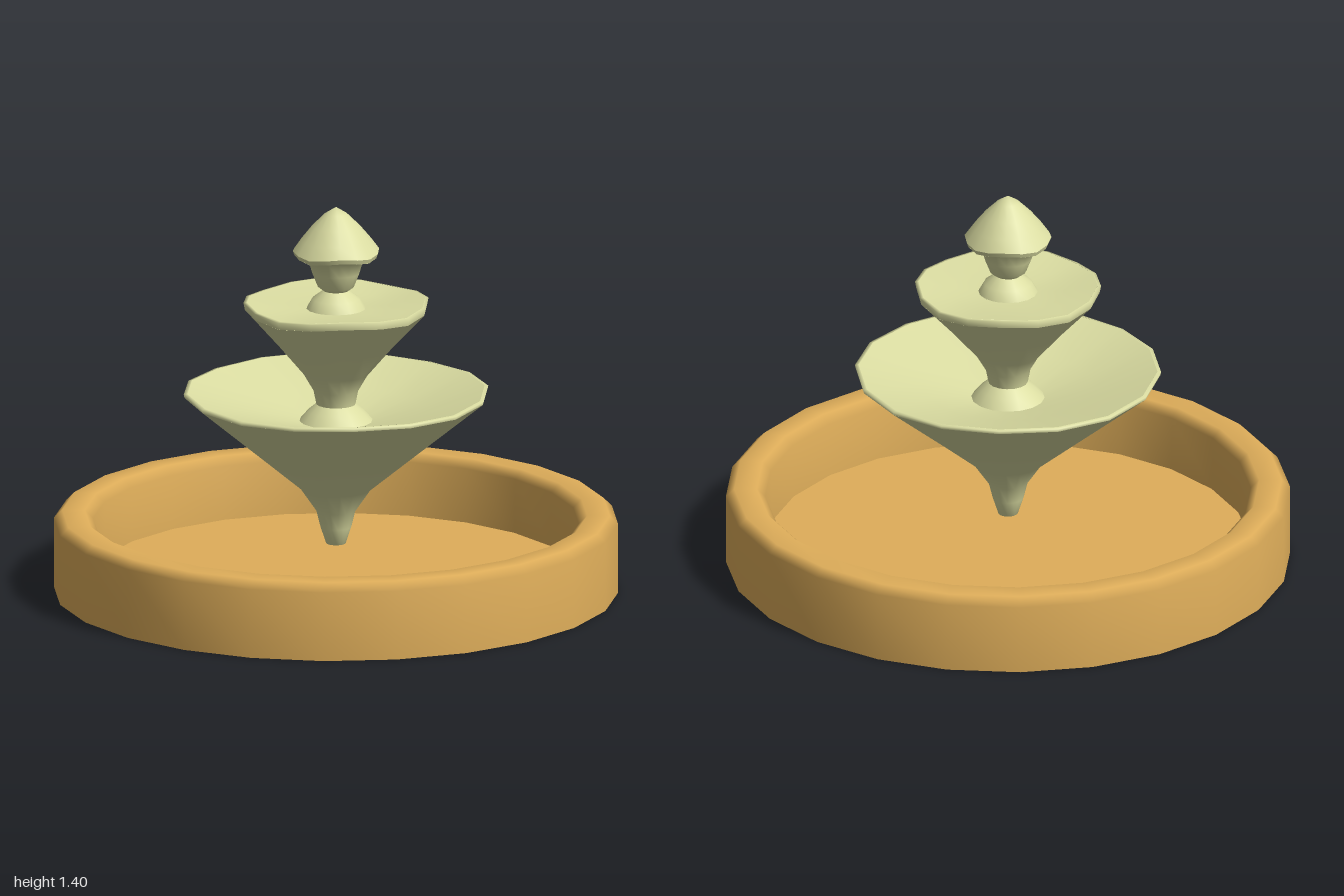
import * as THREE from 'three';
import { mergeVertices } from 'three/addons/utils/BufferGeometryUtils.js';

export function createModel() {
  const clay = new THREE.MeshStandardMaterial({ color: 0xdfae5a, side: THREE.DoubleSide });
  clay.name = 'ochre clay';
  const stone = new THREE.MeshStandardMaterial({ color: 0xdbdda2, side: THREE.DoubleSide });
  stone.name = 'pale stone';

  const fountain = new THREE.Group();
  fountain.name = 'fountain';

  // Smooth turned surface; wave gently warps wide parts so they look hand-carved
  function turned(name, profile, material, parent, sides, start = 0, wave = 0) {
    const pts = profile.map(([r, y]) => new THREE.Vector2(r, y));
    let g = new THREE.LatheGeometry(pts, sides, start);
    g.deleteAttribute('uv');
    g.deleteAttribute('normal');
    const p = g.attributes.position;
    const widest = Math.max(...profile.map(([r]) => r));
    for (let i = 0; i < p.count; i++) {
      const x = p.getX(i), z = p.getZ(i);
      const a = Math.atan2(x, z);
      const reach = Math.pow(Math.hypot(x, z) / widest, 3);
      p.setY(i, p.getY(i) + wave * reach * Math.cos(4 * a + 0.4));
    }
    g = mergeVertices(g, 1e-4);
    g.computeVertexNormals();
    const mesh = new THREE.Mesh(g, material);
    mesh.name = name;
    parent.add(mesh);
  }

  // Basin: hollow ring wall with bevelled rim, and a raised floor
  const basin = new THREE.Group();
  basin.name = 'basin';
  fountain.add(basin);
  turned('basinWall', [[1, 0], [1, 0.25], [0.97, 0.28], [0.89, 0.28], [0.86, 0.25], [0.855, 0.055]],
    clay, basin, 24);
  const floor = new THREE.Mesh(new THREE.CircleGeometry(0.855, 24).rotateX(-Math.PI / 2), clay);
  floor.name = 'basinFloor';
  floor.position.y = 0.055;
  basin.add(floor);

  // Tiers: separate surfaces keep the rim edges crisp
  const tiers = [
    {
      name: 'lowerBowl', wave: 0.004,
      outside: [[0, 0.16], [0.035, 0.17], [0.055, 0.23], [0.07, 0.29], [0.125, 0.37], [0.3, 0.515], [0.54, 0.713]],
      lip: [[0.54, 0.713], [0.543, 0.725], [0.53, 0.727]],
      inside: [[0.53, 0.727], [0.3, 0.66], [0.13, 0.62]],
      collar: [[0.13, 0.62], [0.1, 0.655], [0.07, 0.68]],
    },
    {
      name: 'middleBowl', wave: 0.008,
      outside: [[0.07, 0.68], [0.08, 0.73], [0.115, 0.79], [0.2, 0.89], [0.325, 1.025]],
      lip: [[0.325, 1.025], [0.33, 1.05], [0.318, 1.052]],
      inside: [[0.318, 1.052], [0.2, 1.035], [0.105, 1.03]],
      collar: [[0.105, 1.03], [0.085, 1.065], [0.045, 1.095]],
    },
    {
      name: 'finial', wave: 0.006,
      outside: [[0.045, 1.095], [0.065, 1.11], [0.085, 1.16], [0.1, 1.21], [0.148, 1.222]],
      lip: [[0.148, 1.222], [0.154, 1.238]],
      cap: [[0.154, 1.238], [0.125, 1.28], [0.085, 1.33], [0.04, 1.375], [0, 1.4]],
    },
  ];
  for (const { name, wave, ...surfaces } of tiers) {
    const tier = new THREE.Group();
    tier.name = name;
    fountain.add(tier);
    for (const [part, profile] of Object.entries(surfaces)) {
      turned(`${name} ${part}`, profile, stone, tier, 16, -0.1, part === 'collar' ? 0 : wave);
    }
  }

  return fountain;
}
